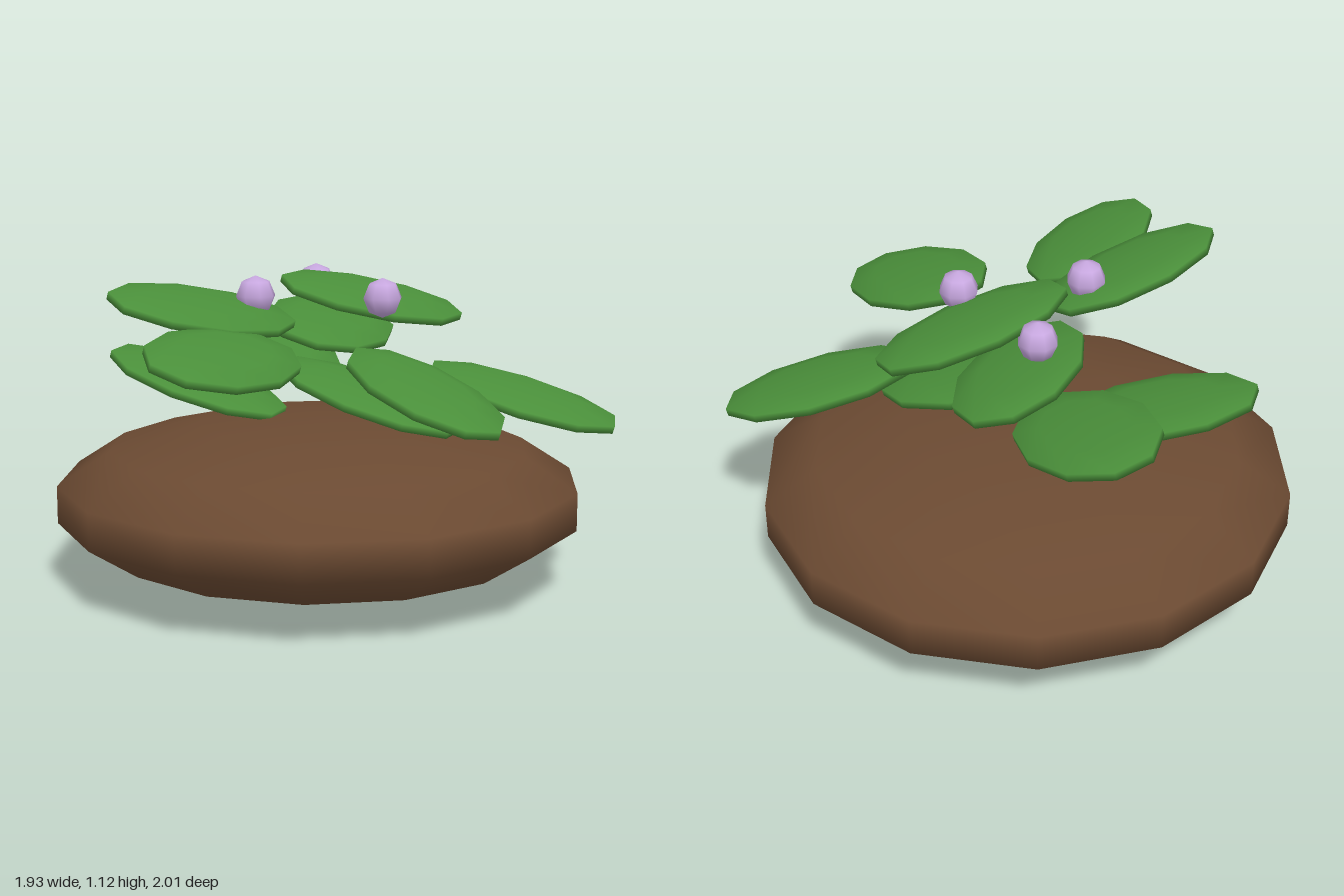
import * as THREE from 'three';

// Low-sided ellipsoid with corners on the z axis
function ellipsoid(rx, ry, rz, sides) {
  return new THREE.SphereGeometry(1, sides, sides / 2).rotateY(Math.PI / 2).scale(rx, ry, rz);
}

export function createModel() {
  const model = new THREE.Group();
  const soil = new THREE.MeshStandardMaterial({ color: 0x6b4a32 });
  soil.name = 'soilBrown';
  const green = new THREE.MeshStandardMaterial({ color: 0x4a8f3a });
  green.name = 'leafGreen';
  const lilac = new THREE.MeshStandardMaterial({ color: 0xc8a8e0 });
  lilac.name = 'flowerLilac';

  const add = (name, geometry, material, x, y, z) => {
    const mesh = new THREE.Mesh(geometry, material);
    mesh.name = name;
    mesh.position.set(x, y, z);
    model.add(mesh);
    return mesh;
  };

  // Flattened earth mound
  add('mound', ellipsoid(0.964, 0.3, 0.964, 14), soil, -0.045, 0.3, -0.065);

  // Leaves: x, y, z, heading in degrees; four height tiers, all leaning towards +x
  const leafGeometry = ellipsoid(0.37, 0.043, 0.231, 10);
  const leaves = [
    [-0.51, 0.69, 0.015, -8],
    [0.17, 0.685, -0.05, -4],
    [0.64, 0.685, -0.31, -21],
    [-0.395, 0.795, -0.38, 40],
    [0.57, 0.795, 0.33, 29],
    [-0.11, 0.9, -0.275, 80],
    [0.015, 0.905, 0.665, 88],
    [-0.265, 1.01, 0.35, -61],
    [0.08, 1.01, -0.235, -51],
  ];
  for (const [x, y, z, heading] of leaves) {
    const leaf = add('leaf', leafGeometry, green, x, y, z);
    leaf.rotation.set(0, -THREE.MathUtils.degToRad(heading), -0.3, 'ZYX');
  }

  // Small round blossoms
  const flowerGeometry = ellipsoid(0.07, 0.07, 0.07, 8);
  for (const [x, y, z] of [[0.21, 1.035, -0.065], [-0.17, 1.045, 0.16], [-0.18, 1.045, -0.285]]) {
    add('flower', flowerGeometry, lilac, x, y, z);
  }
  return model;
}
